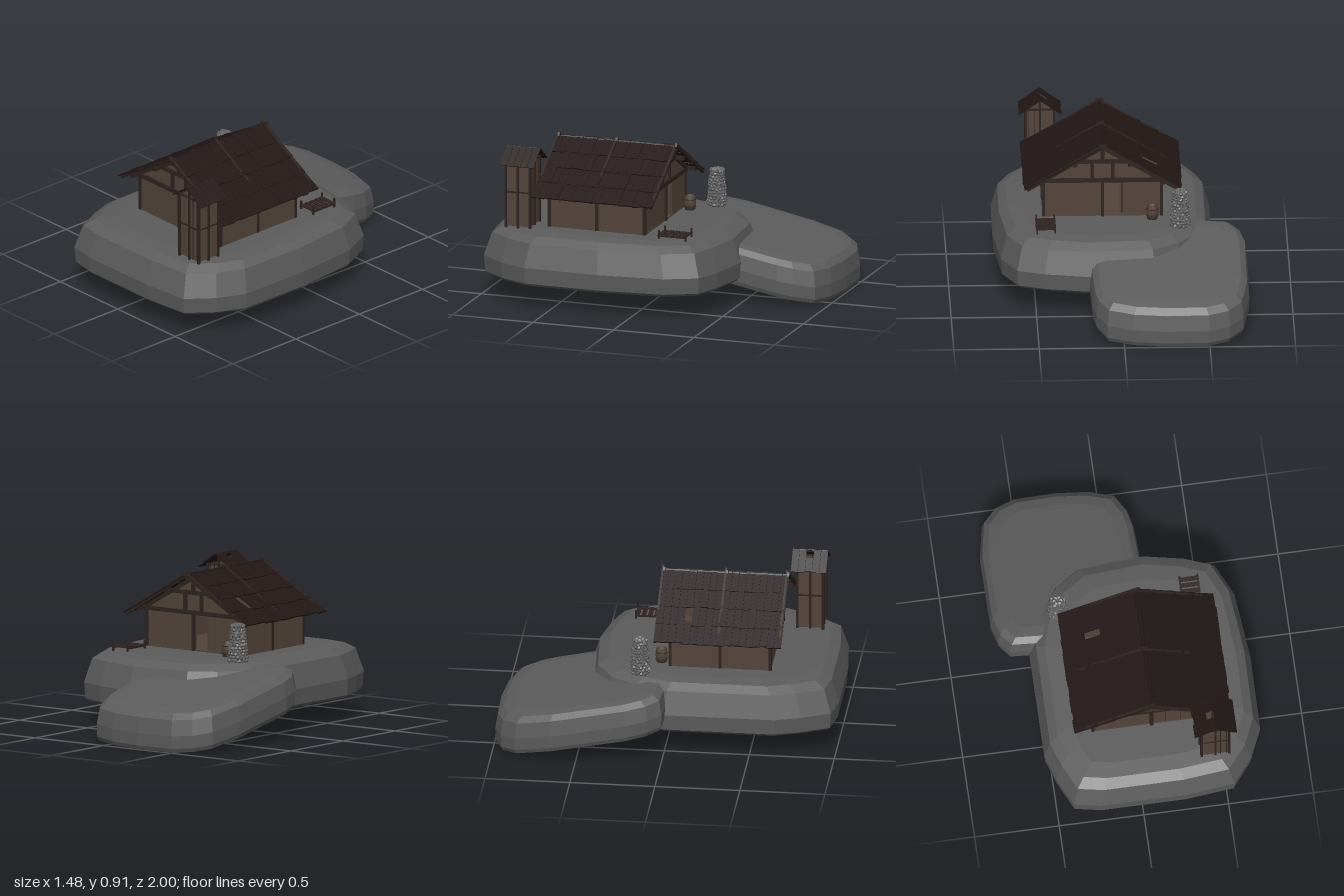
import * as THREE from 'three';

const mat = (color, extra = {}) => new THREE.MeshStandardMaterial({ color, ...extra });
const rockMat = mat(0x5c5c5c, { flatShading: true, side: THREE.DoubleSide });
const stoneMat = mat(0x5f5f5f, { flatShading: true });
const wallMat = mat(0x52443a, { side: THREE.DoubleSide });
const beamMat = mat(0x2e2320);
const roofMat = mat(0x211715);

let seed = 7;
const rand = () => (seed = (seed * 16807) % 2147483647) / 2147483647;
const jitter = (a) => (rand() - 0.5) * 2 * a;

function add(parent, name, geometry, material, x = 0, y = 0, z = 0) {
  const mesh = new THREE.Mesh(geometry, material);
  mesh.name = name;
  mesh.position.set(x, y, z);
  parent.add(mesh);
  return mesh;
}

const box = (parent, name, material, w, h, d, x, y, z) =>
  add(parent, name, new THREE.BoxGeometry(w, h, d), material, x, y, z);

// Square timber running between two points
function beam(parent, name, a, b, w, h = w) {
  const p = new THREE.Vector3(...a), q = new THREE.Vector3(...b);
  const mid = p.clone().add(q).multiplyScalar(0.5);
  const mesh = box(parent, name, beamMat, w, h, p.distanceTo(q), mid.x, mid.y, mid.z);
  mesh.lookAt(q);
  return mesh;
}

function group(parent, name) {
  const g = new THREE.Group();
  g.name = name;
  parent.add(g);
  return g;
}

// Boulder: a clockwise outline [x, z] scaled at each level [y, scale], sheared by slope along z
function rock(parent, name, outline, cx, cz, levels, slope = 0) {
  const pos = [], index = [], n = outline.length;
  const put = (x, y, z) => pos.push(x, y + slope * z, z);
  for (const [y, s] of levels)
    for (const [x, z] of outline) put(cx + (x - cx) * s, y, cz + (z - cz) * s);
  const last = (levels.length - 1) * n, bottom = levels.length * n, top = bottom + 1;
  put(cx, levels[0][0], cz);
  put(cx, levels[levels.length - 1][0], cz);
  for (let i = 0; i < n; i++) {
    const j = (i + 1) % n;
    for (let r = 0; r < last; r += n) {
      index.push(r + i, r + n + i, r + n + j, r + i, r + n + j, r + j);
    }
    index.push(bottom, i, j, top, last + j, last + i);
  }
  const g = new THREE.BufferGeometry();
  g.setAttribute('position', new THREE.Float32BufferAttribute(pos, 3));
  g.setIndex(index);
  g.computeVertexNormals();
  add(parent, name, g, rockMat);
}

const CX = 0.1, RIDGE = 0.893, PITCH = Math.atan(0.567);
const roofY = (x) => RIDGE - Math.abs(x - CX) * 0.567;

function gableWall(parent, name, z, door) {
  const s = new THREE.Shape([[-0.25, 0.43], [0.45, 0.43], [0.45, 0.67], [CX, 0.868], [-0.25, 0.67]]
    .map(([x, y]) => new THREE.Vector2(x, y)));
  if (door) s.holes.push(new THREE.Path([[-0.02, 0.435], [-0.02, 0.64], [0.09, 0.64], [0.09, 0.435]]
    .map(([x, y]) => new THREE.Vector2(x, y))));
  add(parent, name, new THREE.ExtrudeGeometry(s, { depth: 0.015, bevelEnabled: false }), wallMat, 0, 0, z - 0.0075);
}

function house(root) {
  const g = group(root, 'house');
  box(g, 'floor', wallMat, 0.7, 0.012, 0.6, CX, 0.437, 0.3);
  gableWall(g, 'frontWall', 0.59, false);
  gableWall(g, 'backWall', 0.01, true);
  for (const s of [-1, 1]) {
    box(g, 'sideWall', wallMat, 0.015, 0.22, 0.59, CX + s * 0.343, 0.54, 0.3);
    for (const z of [0.005, 0.3, 0.595]) box(g, 'wallPost', beamMat, 0.018, 0.23, 0.018, CX + s * 0.345, 0.545, z);
    // purlins carrying the roof
    for (const d of [0.36, 0.16]) beam(g, 'purlin', [CX + s * d, roofY(CX + d) - 0.025, -0.06], [CX + s * d, roofY(CX + d) - 0.025, 0.655], 0.022);
    // end rafters crossing at the ridge
    for (const z of [-0.07, 0.3, 0.66])
      beam(g, 'rafter', [CX - s * 0.02, RIDGE + 0.012, z + s * 0.004], [CX + s * 0.445, roofY(CX + 0.445) - 0.012, z + s * 0.004], 0.014, 0.022);
  }
  beam(g, 'ridgeBeam', [CX, 0.868, -0.07], [CX, 0.868, 0.66], 0.024);
  // timber framing on both gables
  for (const z of [0.6, 0]) {
    box(g, 'tieBeam', beamMat, 0.73, 0.024, 0.025, CX, 0.661, z);
    box(g, 'collarBeam', beamMat, 0.36, 0.022, 0.025, CX, 0.779, z);
    box(g, 'kingPost', beamMat, 0.024, 0.09, 0.022, CX, 0.83, z);
    box(g, 'doorPost', beamMat, 0.02, 0.22, 0.022, CX, 0.545, z);
    for (const s of [-1, 1]) {
      box(g, 'gableStrut', beamMat, 0.022, 0.11, 0.02, CX + s * 0.06, 0.72, z);
      beam(g, 'gableRafter', [CX, 0.868, z], [CX + s * 0.36, 0.664, z], 0.02);
    }
  }
  for (let i = 1; i < 4; i++) box(g, 'plankSeam', beamMat, 0.002, 0.2, 0.002, CX + i * 0.085, 0.54, 0.598);
  const door = box(g, 'openDoor', wallMat, 0.1, 0.19, 0.01, -0.02, 0.54, 0.05);
  door.rotation.y = 1.25;

  // roof planks in four overlapping rows, one plank missing
  const roof = group(g, 'roof'), cols = 18, rows = 4, len = 0.52 / rows, wide = 0.75 / cols;
  for (const s of [-1, 1]) for (let r = 0; r < rows; r++) for (let c = 0; c < cols; c++) {
    if (s < 0 && r === 2 && c === 4) continue;
    const d = (r + 0.5) * len, lift = jitter(0.0025);
    const p = box(roof, 'roofPlank', roofMat, len + 0.018 + jitter(0.008), 0.008, wide - 0.001,
      CX + s * d * Math.cos(PITCH), RIDGE - d * Math.sin(PITCH) + lift, -0.08 + (c + 0.5) * wide);
    p.rotation.z = -s * (PITCH - 0.03);
  }
}

function tower(root) {
  const g = group(root, 'tower'), cx = 0.445, cz = 0.763;
  for (const s of [-1, 1]) {
    for (const z of [-0.075, 0, 0.075]) box(g, 'cornerPost', beamMat, 0.014, 0.405, 0.014, cx + s * 0.082, 0.632, cz + z);
    box(g, 'middlePost', beamMat, 0.012, 0.47, 0.012, cx, 0.665, cz + s * 0.075);
    // upper and lower panels split by a narrow gap
    for (const [y, h] of [[0.537, 0.195], [0.736, 0.187]]) {
      box(g, 'sidePanel', wallMat, 0.006, h, 0.145, cx + s * 0.078, y, cz);
      for (const t of [-1, 1]) box(g, 'facePanel', wallMat, 0.07, h, 0.006, cx + t * 0.04, y, cz + s * 0.07);
    }
    for (const y of [0.83, 0.645]) {
      box(g, 'crossRail', beamMat, 0.17, 0.01, 0.008, cx, y, cz + s * 0.074);
      box(g, 'sideRail', beamMat, 0.008, 0.01, 0.15, cx + s * 0.08, y, cz);
    }
    for (const t of [0, 0.035]) box(g, 'faceBatten', beamMat, 0.004, 0.39, 0.004, cx + 0.03 + t, 0.635, cz + s * 0.075);
    // thin roof boards with a gap on one side
    for (let i = 0; i < 5; i++) {
      const broken = s < 0 && i === 2;
      const l = broken ? 0.09 : 0.152, a = Math.atan(0.72), d = broken ? 0.1 : 0.077;
      const p = box(g, 'towerRoofBoard', roofMat, l, 0.004, 0.04, cx + s * d * Math.cos(a), 0.901 - d * Math.sin(a), 0.672 + i * 0.042);
      p.rotation.z = -s * a;
    }
  }
  beam(g, 'towerRidge', [cx, 0.893, 0.66], [cx, 0.893, 0.86], 0.008);
}

function cairn(root) {
  const g = group(root, 'cairn'), x = -0.35, z = -0.16;
  add(g, 'cairnCore', new THREE.CylinderGeometry(0.038, 0.052, 0.215, 12), stoneMat, x, 0.54, z);
  const stone = new THREE.DodecahedronGeometry(0.016);
  for (let r = 0; r < 12; r++) for (let i = 0; i < 13; i++) {
    const a = (i + (r % 2) / 2) / 13 * Math.PI * 2, rad = 0.05 - r * 0.0016 + jitter(0.003);
    const m = add(g, 'stone', stone, stoneMat, x + rad * Math.cos(a), 0.443 + r * 0.018, z + rad * Math.sin(a));
    m.rotation.set(rand() * 3, rand() * 3, rand() * 3);
    m.scale.set(1, 0.7, 0.85);
  }
  for (let i = 0; i < 6; i++) add(g, 'capStone', stone, stoneMat, x + 0.02 * Math.cos(i * 1.05), 0.645, z + 0.02 * Math.sin(i * 1.05));
}

function yard(root) {
  // low drying rack
  const rack = group(root, 'rack');
  for (const x of [0.385, 0.49]) {
    for (const z of [-0.265, -0.1]) box(rack, 'rackPost', beamMat, 0.009, 0.06, 0.009, x, 0.457, z);
    box(rack, 'rackRail', beamMat, 0.01, 0.008, 0.18, x, 0.452, -0.18);
  }
  for (let i = 0; i < 5; i++) box(rack, 'rackSlat', beamMat, 0.118, 0.006, 0.026, 0.438, 0.458, -0.255 + i * 0.037);
  // barrel beside the back door
  const profile = [[0, 0], [0.03, 0], [0.036, 0.04], [0.031, 0.085], [0.026, 0.085], [0.026, 0.07], [0, 0.07]]
    .map(([r, y]) => new THREE.Vector2(r, y));
  add(root, 'barrel', new THREE.LatheGeometry(profile, 14), wallMat, -0.19, 0.433, -0.05);
  for (const y of [0.452, 0.498]) {
    const hoop = add(root, 'barrelHoop', new THREE.TorusGeometry(0.034, 0.002, 5, 16), beamMat, -0.19, y, -0.05);
    hoop.rotation.x = Math.PI / 2;
  }
}

export function createModel() {
  const root = new THREE.Group();
  root.name = 'cabinOnRocks';
  rock(root, 'mainRock', [[-0.54, 0.65], [-0.54, 0], [-0.48, -0.2], [-0.36, -0.37], [-0.2, -0.47], [0.2, -0.5],
    [0.45, -0.45], [0.61, -0.39], [0.7, -0.2], [0.74, 0.2], [0.735, 0.65], [0.66, 0.82], [0.54, 0.97],
    [0.25, 1], [-0.25, 1], [-0.41, 0.97], [-0.49, 0.8]], 0.1, 0.26,
  [[0.14, 0.97], [0.155, 0.99], [0.25, 1], [0.39, 0.94], [0.425, 0.86], [0.435, 0.74]]);
  rock(root, 'backRock', [[-0.5, 0.01], [-0.65, 0], [-0.71, -0.08], [-0.74, -0.2], [-0.74, -0.65], [-0.7, -0.86],
    [-0.62, -0.95], [-0.5, -0.995], [-0.25, -1], [-0.05, -0.98], [0.1, -0.93], [0.16, -0.82], [0.18, -0.72],
    [0.19, -0.45], [0.12, -0.08], [0, 0]], -0.28, -0.5,
  [[0.2, 0.975], [0.225, 0.995], [0.3, 1], [0.39, 0.97], [0.42, 0.9], [0.43, 0.78]], 0.2);
  house(root);
  tower(root);
  cairn(root);
  yard(root);
  return root;
}
